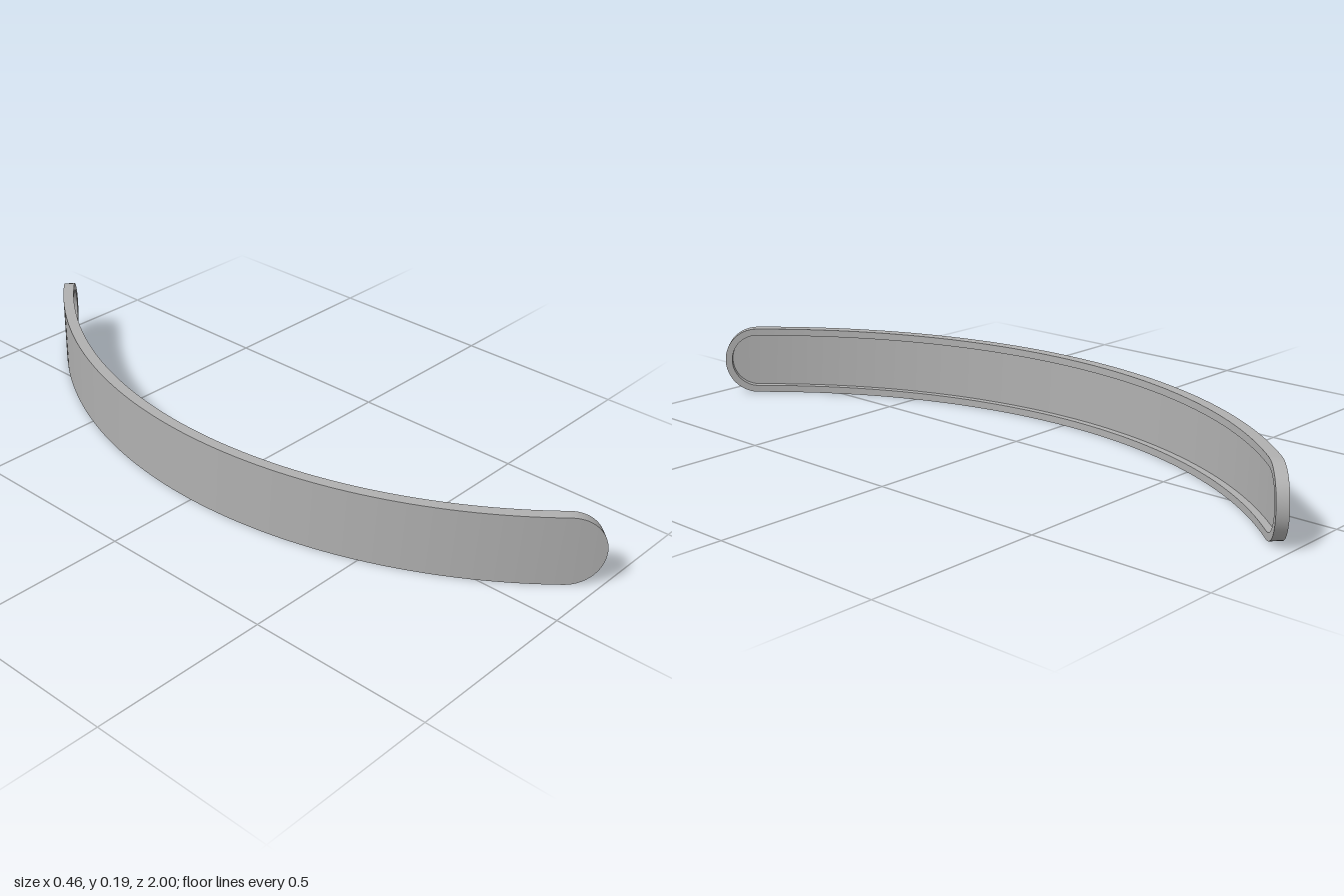
import * as THREE from 'three';

const R_OUT = 1.37, R_IN = 1.339, R_FLOOR = 1.359; // outer face, rim and recess floor radii
const CX = 1.14, CZ = 0.0033;                      // centre of the bend
const FRONT = 0.8147, BACK = -0.8217;              // end angles of the bar
const HALF = 0.0975, RIM = 0.02;

// Upper half of the rounded-end outline, from front tip to back tip, as [angle, height]
function halfOutline(inset) {
  const h = HALF - inset, ends = 14, steps = 64, pts = [];
  const a = FRONT - HALF / R_OUT, b = BACK + HALF / R_OUT;
  for (let i = 0; i <= ends; i++) {
    const t = (i / ends) * Math.PI / 2;
    pts.push([a + Math.cos(t) * h / R_OUT, Math.sin(t) * h]);
  }
  for (let i = 1; i < steps; i++) pts.push([a + (b - a) * i / steps, h]);
  for (let i = 0; i <= ends; i++) {
    const t = (i / ends) * Math.PI / 2;
    pts.push([b - Math.sin(t) * h / R_OUT, Math.cos(t) * h]);
  }
  return pts;
}

const mirrorDown = (pts) => pts.map(([a, y]) => [a, -y]);
const fullLoop = (pts) => [...pts, ...mirrorDown(pts).reverse().slice(1, -1)];

// Wrap an outline around the bend at a given radius
const bend = (pts, r) => pts.map(([a, y]) => [CX - r * Math.cos(a), HALF + y, CZ + r * Math.sin(a)]);

// Skin between two matching lines of points
function skin(A, B, closed) {
  const n = A.length, index = [];
  for (let k = 0; k < (closed ? n : n - 1); k++) {
    const m = (k + 1) % n;
    index.push(k, n + k, m, m, n + k, n + m);
  }
  const g = new THREE.BufferGeometry();
  g.setAttribute('position', new THREE.Float32BufferAttribute([...A, ...B].flat(), 3));
  g.setIndex(index);
  g.computeVertexNormals();
  return g;
}

export function createModel() {
  const group = new THREE.Group();
  group.name = 'curvedBar';
  const grey = new THREE.MeshStandardMaterial({ color: 0xb0b0b0 });
  grey.name = 'grey';
  const add = (name, geometry) => {
    const mesh = new THREE.Mesh(geometry, grey);
    mesh.name = name;
    group.add(mesh);
  };

  const outer = halfOutline(0), inner = halfOutline(RIM);
  const outerLoop = fullLoop(outer), innerLoop = fullLoop(inner);

  // Convex face, edge all round, raised rim, recess wall and recess floor
  add('convexFace', skin(bend(mirrorDown(outer), R_OUT), bend(outer, R_OUT), false));
  add('edgeBand', skin(bend(outerLoop, R_OUT), bend(outerLoop, R_IN), true));
  add('rim', skin(bend(outerLoop, R_IN), bend(innerLoop, R_IN), true));
  add('recessWall', skin(bend(innerLoop, R_IN), bend(innerLoop, R_FLOOR), true));
  add('recessFloor', skin(bend(inner, R_FLOOR), bend(mirrorDown(inner), R_FLOOR), false));
  return group;
}
